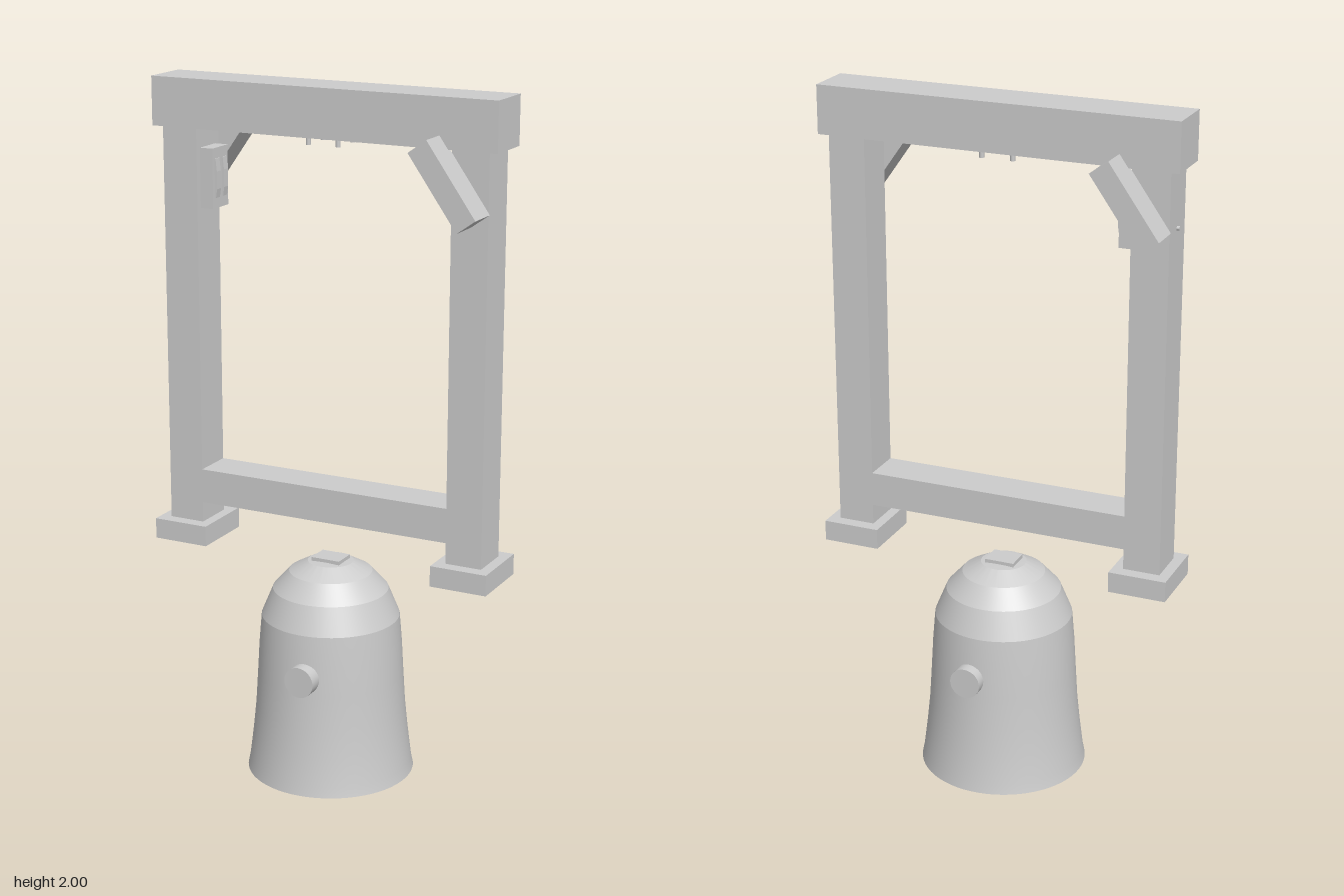
import * as THREE from 'three';
import { toCreasedNormals } from 'three/addons/utils/BufferGeometryUtils.js';

export function createModel() {
  const model = new THREE.Group();
  model.name = 'bellAndFrame';
  const grey = new THREE.MeshStandardMaterial({ color: 0xcccccc });
  grey.name = 'grey';

  const add = (name, geometry, x = 0, y = 0, z = 0, parent = model) => {
    const mesh = new THREE.Mesh(geometry, grey);
    mesh.name = name;
    mesh.position.set(x, y, z);
    parent.add(mesh);
    return mesh;
  };
  const box = (name, w, h, d, x, y, z, parent) =>
    add(name, new THREE.BoxGeometry(w, h, d), x, y, z, parent);

  // Frame: top beam, lower rail, posts, feet and diagonal braces
  const frame = new THREE.Group();
  frame.name = 'frame';
  model.add(frame);
  box('topBeam', 1.045, 0.138, 0.145, 0, 1.931, 0, frame);
  box('lowerRail', 0.776, 0.1, 0.122, 0, 0.82, 0, frame);
  for (const s of [1, -1]) {
    const side = s > 0 ? 'left' : 'right';
    box(side + 'Post', 0.107, 1.152, 0.122, s * 0.4415, 1.286, 0, frame);
    box(side + 'Foot', 0.168, 0.06, 0.197, s * 0.442, 0.68, 0, frame);
    // each brace lies on the opposite face of the frame
    const brace = box(side + 'Brace', 0.065, 0.246, 0.094, s * 0.401, 1.779, s * 0.108, frame);
    brace.rotation.z = s * 0.618;
  }

  // Pins under the beam
  for (const x of [-0.045, 0.045])
    for (const z of [-0.045, 0.045])
      add('beamPin', new THREE.CylinderGeometry(0.007, 0.007, 0.03, 12), x, 1.855, z, frame);
  add('beamCentrePin', new THREE.CylinderGeometry(0.008, 0.008, 0.02, 12), 0, 1.863, 0, frame);

  // Switch box with two rockers on the inside of one post
  const latch = new THREE.Group();
  latch.name = 'switchBox';
  frame.add(latch);
  box('switchPlate', 0.042, 0.17, 0.085, -0.369, 1.72, 0, latch);
  const rocker = new THREE.Shape([
    [0, -0.055], [0.004, -0.055], [0.008, -0.03], [0.008, 0.02], [0.004, 0.055], [0, 0.055],
  ].map(([x, y]) => new THREE.Vector2(x, y)));
  for (const z of [-0.02, 0.02]) {
    const geometry = new THREE.ExtrudeGeometry(rocker, { depth: 0.022, bevelEnabled: false });
    add('rocker', geometry.translate(0, 0, -0.011), -0.349, 1.72, z, latch);
  }
  const bolt = add('postBolt', new THREE.CylinderGeometry(0.006, 0.006, 0.016, 12), -0.495, 1.695, 0, frame);
  bolt.rotation.z = Math.PI / 2;

  // Hollow bell: inner wall downwards, lip, then outer wall upwards
  const bell = new THREE.Group();
  bell.name = 'bell';
  model.add(bell);
  const profile = [
    [0, 0.61], [0.06, 0.605], [0.11, 0.577], [0.15, 0.53], [0.178, 0.46], [0.187, 0.33],
    [0.195, 0.2], [0.205, 0.08], [0.217, 0],
    [0.243, 0], [0.237, 0.03], [0.226, 0.12], [0.218, 0.2], [0.212, 0.3], [0.207, 0.39],
    [0.2, 0.475], [0.167, 0.555], [0.12, 0.607], [0.066, 0.637], [0, 0.642],
  ].map(([r, y]) => new THREE.Vector2(r, y));
  add('bellShell', toCreasedNormals(new THREE.LatheGeometry(profile, 64), 0.2), 0, 0, 0, bell);
  box('bellCap', 0.088, 0.022, 0.07, 0, 0.638, 0, bell);

  // Round studs on the front and back of the bell
  for (const s of [1, -1]) {
    const stud = add(s > 0 ? 'frontStud' : 'backStud',
      new THREE.CylinderGeometry(0.045, 0.045, 0.044, 32), 0.02, 0.348, s * 0.217, bell);
    stud.rotation.x = Math.PI / 2;
  }

  return model;
}
